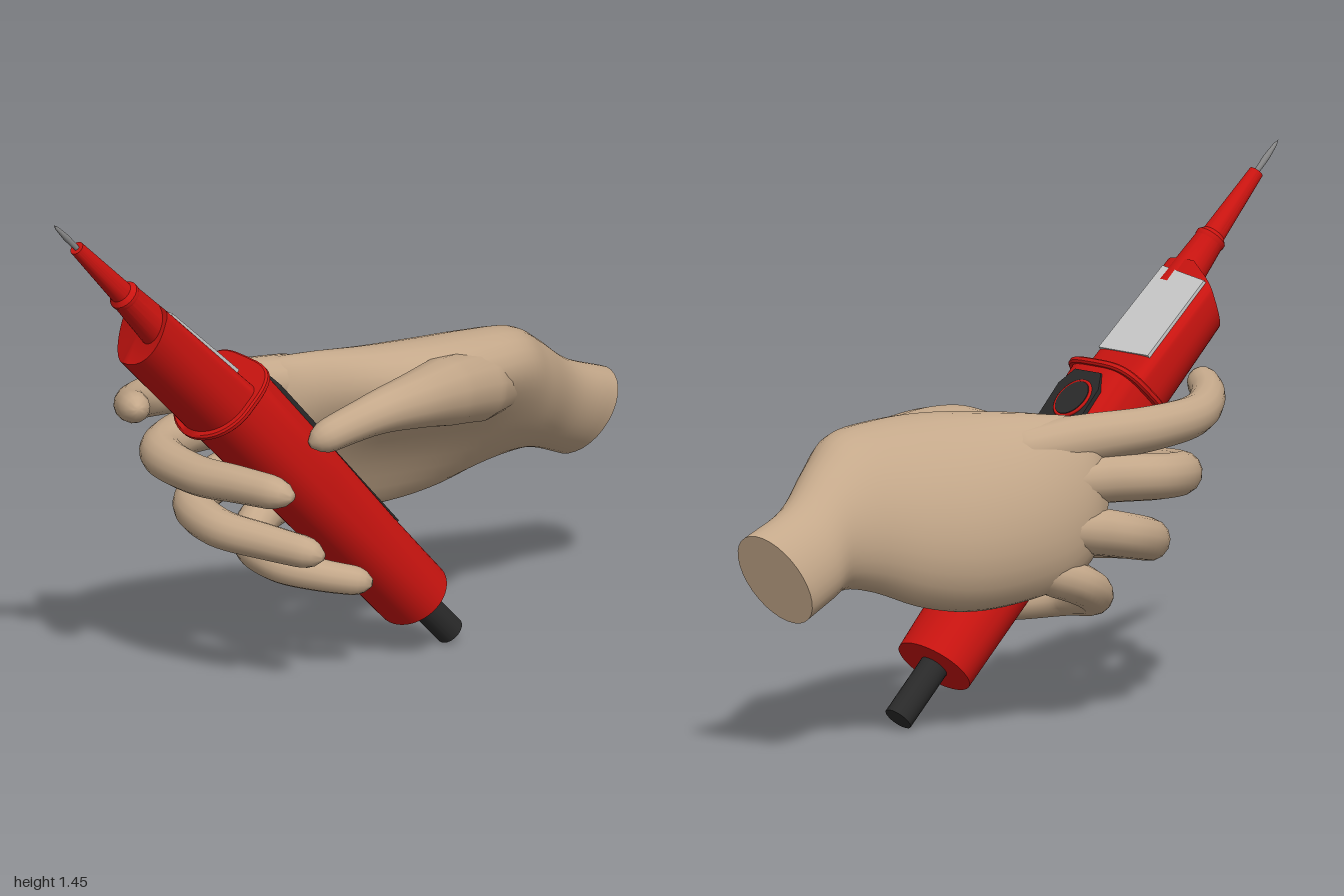
import * as THREE from 'three';
import { toCreasedNormals } from 'three/addons/utils/BufferGeometryUtils.js';

const mat = (color) => new THREE.MeshStandardMaterial({ color });
const red = mat(0xcc1410), black = mat(0x2a2a2a), skin = mat(0xc4a88a), grey = mat(0xcccccc), steel = mat(0x858585);

function add(parent, name, geo, material) {
  const mesh = new THREE.Mesh(geo, material);
  mesh.name = name;
  parent.add(mesh);
  return mesh;
}

// Skin a list of rings (arrays of Vector3) and close both ends with fans.
function loft(rings, crease) {
  const n = rings[0].length, pos = [], idx = [];
  rings.forEach((r) => r.forEach((p) => pos.push(p.x, p.y, p.z)));
  for (let i = 0; i < rings.length - 1; i++) {
    for (let j = 0; j < n; j++) {
      const a = i * n + j, b = i * n + (j + 1) % n;
      idx.push(a, b, b + n, a, b + n, a + n);
    }
  }
  [0, rings.length - 1].forEach((i) => {
    const c = rings[i].reduce((s, p) => s.add(p), new THREE.Vector3()).divideScalar(n);
    const ci = pos.length / 3;
    pos.push(c.x, c.y, c.z);
    for (let j = 0; j < n; j++) {
      const a = i * n + j, b = i * n + (j + 1) % n;
      if (i === 0) idx.push(ci, b, a); else idx.push(ci, a, b);
    }
  });
  const g = new THREE.BufferGeometry();
  g.setAttribute('position', new THREE.Float32BufferAttribute(pos, 3));
  g.setIndex(idx);
  return toCreasedNormals(g, crease);
}

// Casing section: round front (+z), squarer back (-z); shearZ slants the end, dropX lowers its -x corner.
function casingRing([s, rx, front, back, p, shearZ = 0, dropX = 0]) {
  return Array.from({ length: 48 }, (_, j) => {
    const t = j / 48 * Math.PI * 2, sn = Math.sin(t), cs = Math.cos(t);
    const x = cs >= 0 ? rx * sn : rx * Math.sign(sn) * Math.abs(sn) ** p;
    const z = cs >= 0 ? front * cs : -back * Math.abs(cs) ** p;
    return new THREE.Vector3(x, s + shearZ * z + dropX * Math.min(x, 0), z);
  });
}

// Tapered finger along a curve, rounded at both ends.
function finger(points, radii) {
  const curve = new THREE.CatmullRomCurve3(points.map((p) => new THREE.Vector3(...p)));
  const steps = 44, sides = 14, f = curve.computeFrenetFrames(steps);
  const rings = [];
  for (let i = 0; i <= steps; i++) {
    const u = i / steps, k = u * (radii.length - 1), a = Math.min(Math.floor(k), radii.length - 2);
    const end = Math.max(0, 1 - Math.min(u, 1 - u) / 0.07);
    const r = THREE.MathUtils.lerp(radii[a], radii[a + 1], k - a) * Math.sqrt(Math.max(0.08, 1 - end * end));
    const c = curve.getPointAt(u);
    rings.push(Array.from({ length: sides }, (_, j) => {
      const t = j / sides * Math.PI * 2;
      return c.clone().addScaledVector(f.normals[i], r * Math.cos(t)).addScaledVector(f.binormals[i], r * Math.sin(t));
    }));
  }
  return loft(rings, 1.1);
}

// Flat plate lying on the back of the casing.
function plate(parent, name, pts, depth, material, s, l, tilt) {
  const g = new THREE.ExtrudeGeometry(new THREE.Shape(pts.map((p) => new THREE.Vector2(...p))), { depth, bevelEnabled: false });
  g.translate(0, 0, -depth);
  const m = add(parent, name, g, material);
  m.position.set(0, s, l);
  m.rotation.x = tilt;
}

function buildTester() {
  // local y runs along the casing, local -z is the button side
  const g = new THREE.Group();
  g.name = 'tester';
  g.position.set(-0.01, 0.16, -0.24);
  g.rotation.set(THREE.MathUtils.degToRad(44), 0, -0.02);

  add(g, 'casing', loft([
    [0, 0.122, 0.1, 0.1, 1],
    [0.25, 0.122, 0.102, 0.104, 0.8],
    [0.55, 0.122, 0.105, 0.116, 0.6],
    [0.93, 0.125, 0.11, 0.128, 0.5],
    [0.94, 0.125, 0.112, 0.074, 0.35],
    [1.325, 0.122, 0.113, 0.05, 0.35, -0.5, 0.5],
  ].map(casingRing), 0.7), red);
  add(g, 'collar', loft([
    [0.928, 0.14, 0.124, 0.134, 0.55],
    [0.933, 0.145, 0.13, 0.139, 0.55],
    [0.943, 0.145, 0.13, 0.139, 0.55],
    [0.948, 0.14, 0.124, 0.134, 0.55],
  ].map(casingRing), 0.7), red);

  // probe sleeve and needle
  const lathe = (name, pts, material) => {
    const m = add(g, name, toCreasedNormals(new THREE.LatheGeometry(pts.map((p) => new THREE.Vector2(...p)), 24), 0.5), material);
    m.position.set(0.055, 0, -0.006);
  };
  lathe('probeSleeve', [[0.054, 1.27], [0.041, 1.44], [0.043, 1.445], [0.043, 1.455], [0.032, 1.468], [0.02, 1.68], [0, 1.68]], red);
  lathe('needle', [[0.007, 1.67], [0.009, 1.73], [0.005, 1.775], [0, 1.79]], steel);

  const cable = add(g, 'cable', new THREE.CylinderGeometry(0.04, 0.04, 0.2, 20), black);
  cable.position.set(0, -0.08, 0);

  // label, grip pad and button
  plate(g, 'label', [[-0.105, 0], [0.105, 0], [0.1, 0.295], [-0.1, 0.27]], 0.02, grey, 1.02, -0.053, 0.062);
  plate(g, 'gripPad', [[-0.04, -0.38], [0.04, -0.38], [0.045, -0.06], [0.085, 0.05], [0.085, 0.26], [0.055, 0.31],
    [-0.055, 0.31], [-0.085, 0.26], [-0.085, 0.05], [-0.045, -0.06]], 0.05, black, 0.6, -0.07, -0.037);
  const rim = add(g, 'buttonRim', new THREE.TorusGeometry(0.058, 0.005, 8, 32), red);
  rim.position.set(-0.01, 0.817, -0.129);
  const button = add(g, 'button', new THREE.CylinderGeometry(0.054, 0.054, 0.02, 32), black);
  button.position.set(-0.01, 0.817, -0.124);
  button.rotation.x = Math.PI / 2;
  return g;
}

function buildHand() {
  const g = new THREE.Group();
  g.name = 'hand';

  // z, x range, y range, phase (smaller is a thinner diagonal), palm hollow, slant
  const rows = [
    [-0.94, -0.31, -0.12, 0.37, 0.61, 75, 0, -0.36],
    [-0.81, -0.29, -0.085, 0.415, 0.67, 74, 0, -0.2],
    [-0.7, -0.265, 0, 0.43, 0.77, 72, 0.015, 0],
    [-0.6, -0.27, 0.06, 0.41, 0.83, 70, 0.04, 0],
    [-0.45, -0.3, 0.1, 0.35, 0.85, 70, 0.08, 0],
    [-0.3, -0.32, 0.11, 0.32, 0.855, 71, 0.11, 0],
    [-0.15, -0.325, 0.05, 0.33, 0.85, 72, 0.1, 0],
    [0, -0.32, -0.07, 0.37, 0.84, 74, 0.06, 0],
    [0.09, -0.305, -0.14, 0.43, 0.825, 78, 0.02, 0],
    [0.14, -0.28, -0.19, 0.5, 0.78, 80, 0, 0],
  ];
  const sides = 32, steps = 44;
  const columns = Array.from({ length: sides }, (_, j) => {
    const t = j / sides * Math.PI * 2;
    return new THREE.CatmullRomCurve3(rows.map(([z, x0, x1, y0, y1, deg, hollow, slant]) => {
      const phi = THREE.MathUtils.degToRad(deg);
      const w = Math.max(0, Math.cos(t - phi / 2 + Math.PI / 2)) ** 2 * hollow;
      const dx = (x1 - x0) / 2 * Math.cos(t) - w, dy = (y1 - y0) / 2 * Math.cos(t - phi) + w;
      return new THREE.Vector3((x0 + x1) / 2 + dx, (y0 + y1) / 2 + dy, z + slant * (dx + dy));
    }));
  });
  const rings = Array.from({ length: steps + 1 }, (_, i) => columns.map((c) => c.getPoint(i / steps)));
  add(g, 'palm', loft(rings, 1), skin);

  add(g, 'indexFinger', finger([[-0.17, 0.74, -0.14], [-0.215, 0.765, 0.1], [-0.245, 0.78, 0.32], [-0.21, 0.795, 0.49],
    [-0.11, 0.825, 0.61], [0.015, 0.855, 0.675]], [0.06, 0.072, 0.064, 0.058, 0.049, 0.042]), skin);
  add(g, 'middleFinger', finger([[-0.22, 0.66, -0.1], [-0.25, 0.66, 0.15], [-0.265, 0.65, 0.33], [-0.19, 0.64, 0.455],
    [0, 0.63, 0.475], [0.15, 0.635, 0.44], [0.32, 0.635, 0.385]], [0.06, 0.067, 0.062, 0.057, 0.052, 0.044]), skin);
  add(g, 'ringFinger', finger([[-0.24, 0.55, -0.1], [-0.265, 0.53, 0.07], [-0.268, 0.5, 0.22], [-0.2, 0.47, 0.34],
    [-0.05, 0.45, 0.37], [0.1, 0.435, 0.31], [0.25, 0.42, 0.235]], [0.05, 0.065, 0.06, 0.055, 0.05, 0.042]), skin);
  add(g, 'littleFinger', finger([[-0.22, 0.44, -0.16], [-0.25, 0.42, -0.04], [-0.258, 0.38, 0.07], [-0.19, 0.335, 0.16],
    [-0.05, 0.31, 0.175], [0.05, 0.29, 0.1], [0.145, 0.275, 0.0]], [0.045, 0.058, 0.054, 0.05, 0.045, 0.038]), skin);
  add(g, 'thumb', finger([[-0.06, 0.68, -0.58], [0.06, 0.735, -0.32], [0.145, 0.76, -0.12], [0.17, 0.76, 0],
    [0.16, 0.735, 0.1], [0.14, 0.7, 0.2]], [0.07, 0.1, 0.094, 0.074, 0.054, 0.042]), skin);
  return g;
}

export function createModel() {
  const model = new THREE.Group();
  model.name = 'handWithTester';
  model.add(buildTester(), buildHand());
  return model;
}
